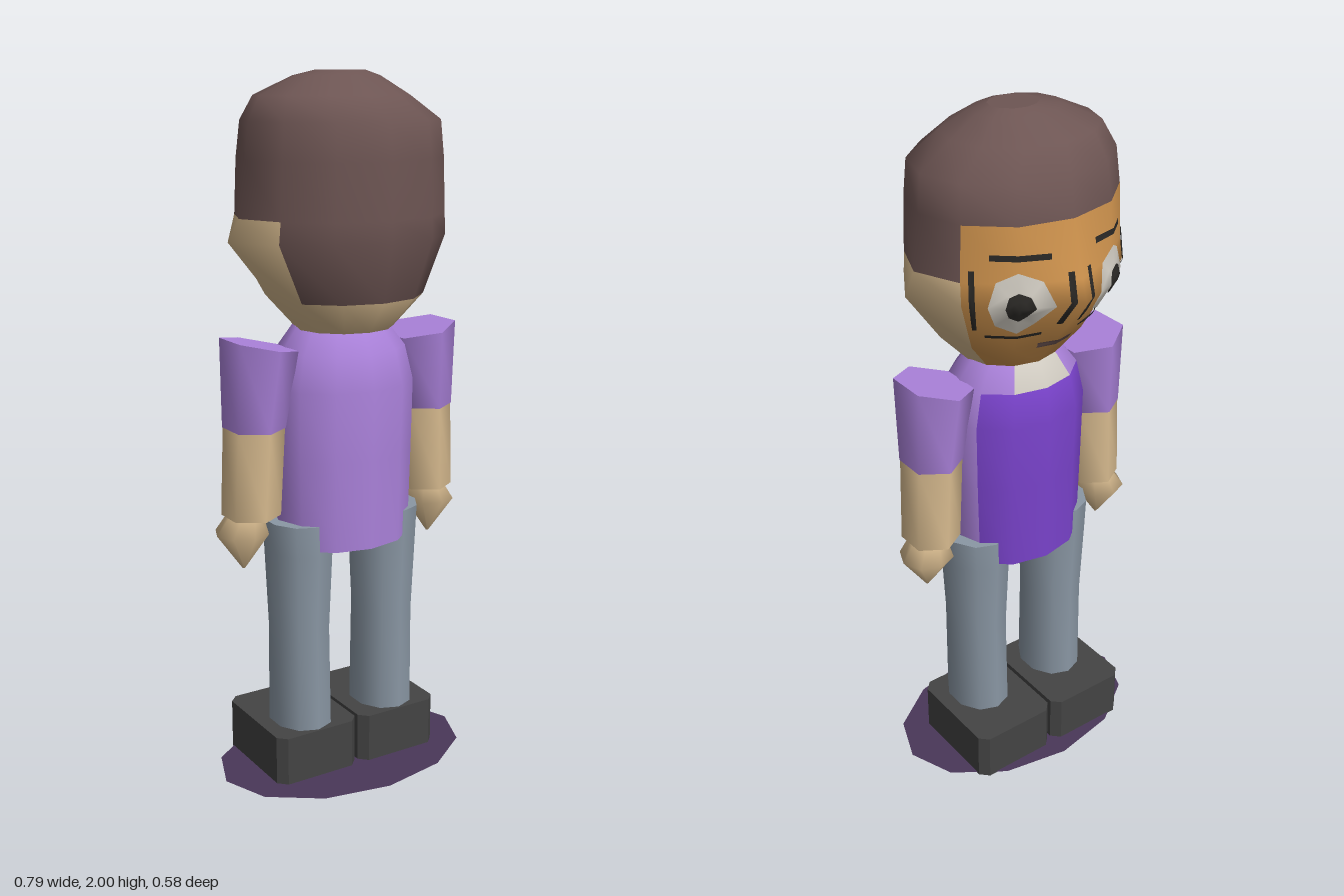
import * as THREE from 'three';

const mat = (name, color, side = THREE.FrontSide) => {
  const m = new THREE.MeshStandardMaterial({ color, side });
  m.name = name;
  return m;
};

// Point u (0 = -z, quarter turn = +x) on a ring { y, cx, cz, rx, rz, tilt, ear, nose }
function ringPoint(r, u, seg) {
  const a = (u / seg) * Math.PI * 2;
  const p = new THREE.Vector3(r.rx * Math.sin(a), r.y, r.cz - r.rz * Math.cos(a));
  const side = Math.abs(Math.sin(a));
  if (r.ear && side > 0.999) p.x = Math.sign(p.x) * r.ear;
  if (r.nose && side < 0.001 && Math.cos(a) > 0) p.z = r.nose;
  p.y += (r.tilt || 0) * p.x;
  p.x += r.cx;
  return p;
}

const ring = (y, cx, cz, rx, rz, extra = {}) => ({ y, cx, cz, rx, rz, ...extra });

// Closed skin over rings listed from bottom to top; pick(column, row) chooses the material
function loft(name, rings, seg, materials, pick = () => 0) {
  const pos = [], faces = materials.map(() => []);
  const add = (p) => pos.push(p.x, p.y, p.z) / 3 - 1;
  rings.forEach((r) => { for (let u = 0; u < seg; u++) add(ringPoint(r, u, seg)); });
  for (let j = 0; j < rings.length - 1; j++) {
    for (let u = 0; u < seg; u++) {
      const v = (u + 1) % seg, k = j * seg;
      const a = k + u, b = k + v, c = k + seg + v, d = k + seg + u;
      faces[pick(u, j)].push(a, d, c, a, c, b);
    }
  }
  [0, rings.length - 1].forEach((j) => {
    const r = rings[j], mid = add(new THREE.Vector3(r.cx, r.y, r.cz));
    for (let u = 0; u < seg; u++) add(ringPoint(r, u, seg));
    for (let u = 0; u < seg; u++) {
      const p = mid + 1 + u, q = mid + 1 + ((u + 1) % seg);
      faces[pick(u, Math.min(j, rings.length - 2))].push(mid, ...(j ? [q, p] : [p, q]));
    }
  });
  const g = new THREE.BufferGeometry();
  g.setAttribute('position', new THREE.Float32BufferAttribute(pos, 3));
  g.setIndex(faces.flat());
  let start = 0;
  faces.forEach((f, i) => { g.addGroup(start, f.length, i); start += f.length; });
  g.computeVertexNormals();
  const mesh = new THREE.Mesh(g, materials);
  mesh.name = name;
  return mesh;
}

// Point just above the lofted skin at column u and height y
function onSkin(rings, seg, u, y, lift) {
  let j = 0;
  while (j < rings.length - 2 && y > rings[j + 1].y) j++;
  const i = Math.floor(u), f = u - i, g = (y - rings[j].y) / (rings[j + 1].y - rings[j].y);
  const [a, b] = [i, i + 1].map((k) => ringPoint(rings[j], k, seg));
  const [d, c] = [i, i + 1].map((k) => ringPoint(rings[j + 1], k, seg));
  const p = g > f
    ? a.clone().addScaledVector(d.sub(a), g).addScaledVector(c.sub(d.add(a)), f)
    : a.clone().addScaledVector(b.sub(a), f).addScaledVector(c.sub(b.add(a)), g);
  const out = new THREE.Vector3(p.x, 0, p.z).normalize();
  return p.addScaledVector(out, lift);
}

// Thin painted patch hugging the skin; outline is in units of its half sizes
function patch(name, rings, seg, u0, y0, hu, hy, outline, material, lift) {
  const pos = [], index = [], n = outline.length;
  const add = (s, t) => {
    const p = onSkin(rings, seg, u0 + s * hu, y0 + t * hy, lift);
    pos.push(p.x, p.y, p.z);
  };
  add(0, 0);
  [0.5, 1].forEach((k) => outline.forEach(([s, t]) => add(s * k, t * k)));
  for (let i = 0; i < n; i++) {
    const a = 1 + i, b = 1 + ((i + 1) % n);
    index.push(0, a, b, a, a + n, b + n, a, b + n, b);
  }
  const g = new THREE.BufferGeometry();
  g.setAttribute('position', new THREE.Float32BufferAttribute(pos, 3));
  g.setIndex(index);
  g.computeVertexNormals();
  const mesh = new THREE.Mesh(g, material);
  mesh.name = name;
  return mesh;
}

export function createModel() {
  const model = new THREE.Group();
  model.name = 'standingBoy';
  const hair = mat('hairBrown', 0x6d5553), skin = mat('skinTan', 0xd9bc90);
  const face = mat('faceOrange', 0xd0944e), lilac = mat('shirtLilac', 0xab82db);
  const violet = mat('shirtViolet', 0x7a43cc), jeans = mat('jeansGrey', 0x8a97a4);
  const shoe = mat('shoeGrey', 0x444444), shade = mat('basePurple', 0x4a3759, THREE.DoubleSide);
  const white = mat('eyeWhite', 0xd3cec4, THREE.DoubleSide);
  const black = mat('lineBlack', 0x2b2926, THREE.DoubleSide);

  // Flat oval base
  const base = new THREE.Mesh(new THREE.CircleGeometry(1, 12), shade);
  base.name = 'base';
  base.rotation.x = -Math.PI / 2;
  base.scale.set(0.39, 0.27, 1);
  base.position.set(0, 0.004, 0.02);
  model.add(base);

  // Shoe outline with cut corners, extruded upwards
  const c = 0.025, w = 0.1325, l = 0.163;
  const sole = new THREE.Shape([
    [-w + c, -l], [w - c, -l], [w, -l + c], [w, l - c],
    [w - c, l], [-w + c, l], [-w, l - c], [-w, -l + c],
  ].map(([x, y]) => new THREE.Vector2(x, y)));
  const shoeGeo = new THREE.ExtrudeGeometry(sole, { depth: 0.148, bevelEnabled: false });
  shoeGeo.rotateX(-Math.PI / 2);

  for (const s of [1, -1]) {
    const side = s > 0 ? 'left' : 'right';
    const foot = new THREE.Mesh(shoeGeo, shoe);
    foot.name = side + 'Shoe';
    foot.position.set(s * 0.138, 0, -0.031);
    model.add(foot);

    model.add(loft(side + 'Leg', [
      ring(0.14, s * 0.14, 0.018, 0.09, 0.108),
      ring(0.45, s * 0.142, 0.018, 0.086, 0.106),
      ring(0.68, s * 0.142, 0.018, 0.096, 0.117),
      ring(0.77, s * 0.146, 0.018, 0.096, 0.118),
    ], 10, [jeans]));

    model.add(loft(side + 'Sleeve', [
      ring(1.05, s * 0.28, 0.018, 0.085, 0.096),
      ring(1.28, s * 0.262, 0.02, 0.103, 0.122, { tilt: s * 0.2 }),
    ], 6, [lilac]));
    model.add(loft(side + 'Forearm', [
      ring(0.8, s * 0.292, 0.016, 0.082, 0.088),
      ring(1.055, s * 0.28, 0.018, 0.083, 0.094),
    ], 6, [skin]));
    model.add(loft(side + 'Hand', [
      ring(0.645, s * 0.315, 0.01, 0.004, 0.004),
      ring(0.75, s * 0.316, 0.006, 0.078, 0.079),
      ring(0.81, s * 0.305, 0.01, 0.045, 0.055),
    ], 8, [skin]));
  }

  // Shirt: violet chest, pale neckline, lilac elsewhere
  const isFront = (u) => u < 2 || u > 9;
  model.add(loft('shirt', [
    ring(0.695, 0, 0.02, 0.205, 0.165),
    ring(0.95, 0, 0.02, 0.212, 0.17),
    ring(1.15, 0, 0.02, 0.215, 0.175),
    ring(1.25, 0, 0.018, 0.19, 0.157),
    ring(1.315, 0, 0.015, 0.14, 0.115),
  ], 12, [lilac, violet, white], (u, j) => {
    if (!isFront(u)) return 0;
    if (j < 3) return 1;
    return u === 0 || u === 11 ? 2 : 0;
  }));

  // Head: ears and nose are pulled-out points of the middle ring
  const head = [
    ring(1.31, 0, 0.036, 0.14, 0.132),
    ring(1.4, 0, 0.037, 0.225, 0.203),
    ring(1.56, 0, 0.01, 0.305, 0.265, { ear: 0.345, nose: -0.295 }),
    ring(1.62, 0, 0.015, 0.3, 0.258, { ear: 0.313, nose: -0.277 }),
    ring(1.77, 0, 0.016, 0.293, 0.256),
    ring(1.87, 0, 0.018, 0.283, 0.243),
    ring(1.935, -0.03, 0.02, 0.22, 0.185),
    ring(1.985, -0.015, 0.02, 0.125, 0.1),
    ring(2.0, 0, 0.015, 0.07, 0.06),
  ];
  model.add(loft('head', head, 12, [hair, skin, face], (u, j) => {
    if (j > 3) return 0;
    if (isFront(u)) return 2;
    if (j === 0) return 1;
    const isBack = u > 3 && u < 8;
    return isBack || j === 3 ? 0 : 1;
  }));

  // Painted eyes, frame lines and mouth
  const round = (n) => Array.from({ length: n }, (_, i) => {
    const a = (-i / n) * Math.PI * 2;
    return [Math.cos(a), Math.sin(a)];
  });
  const square = [[1, 1], [1, 0], [1, -1], [0, -1], [-1, -1], [-1, 0], [-1, 1], [0, 1]];
  for (const s of [1, -1]) {
    const add = (name, u, y, hu, hy, shape, m, lift) =>
      model.add(patch(name, head, 12, s * u, y, hu, hy, shape, m, lift));
    add('eyeWhite', 1, 1.56, 0.54, 0.092, round(8), white, 0.006);
    add('pupil', 1, 1.56, 0.24, 0.042, round(8), black, 0.011);
    add('frameOuter', 1.8, 1.565, 0.05, 0.09, square, black, 0.006);
    add('frameInner', 0.2, 1.565, 0.05, 0.08, square, black, 0.006);
    add('frameBottom', 1, 1.452, 0.6, 0.005, square, black, 0.006);
    add('eyebrow', 1, 1.69, 0.5, 0.008, square, black, 0.006);
  }
  model.add(patch('mouth', head, 12, 0, 1.405, 0.45, 0.01, square, hair, 0.008));
  return model;
}
